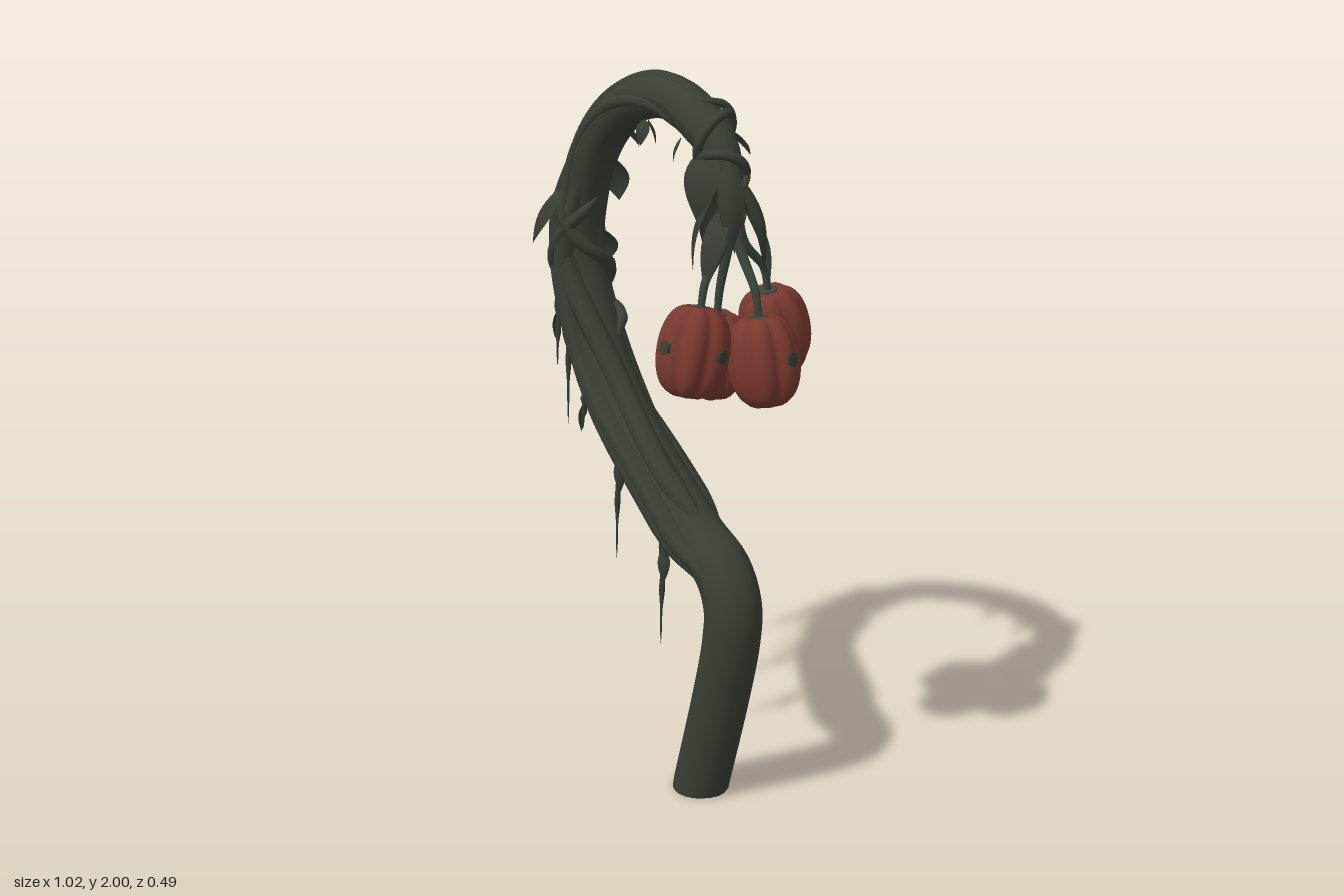
import * as THREE from 'three';

const V = (x, y, z = 0) => new THREE.Vector3(x, y, z);
const curveOf = (pts) => new THREE.CatmullRomCurve3(pts, false, 'centripetal');

// tube whose radius follows radiusAt(t)
function taperedTube(curve, radiusAt, segs, sides) {
  const geo = new THREE.TubeGeometry(curve, segs, 1, sides, false);
  const pos = geo.attributes.position, p = V(0, 0);
  for (let i = 0; i <= segs; i++) {
    const c = curve.getPointAt(i / segs), r = radiusAt(i / segs);
    for (let j = 0; j <= sides; j++) {
      const k = i * (sides + 1) + j;
      p.fromBufferAttribute(pos, k).sub(c).multiplyScalar(r).add(c);
      pos.setXYZ(k, p.x, p.y, p.z);
    }
  }
  return geo;
}

// pointed leaf hanging from the origin along -y, folded at the midrib and curled forward
function leafGeometry(w, h) {
  const geo = new THREE.PlaneGeometry(1, 1, 4, 10), pos = geo.attributes.position;
  for (let i = 0; i < pos.count; i++) {
    const u = pos.getX(i) * 2, v = 0.5 - pos.getY(i);
    const half = (w / 2) * Math.max(0, Math.sin(Math.PI * Math.pow(v, 0.75)));
    pos.setXYZ(i, u * half, -v * h, -Math.abs(u) * half * 0.35 + Math.sin(v * Math.PI) * h * 0.12);
  }
  geo.computeVertexNormals();
  return geo;
}

// seven-lobed barrel pod with blunt ends
function podGeometry() {
  const profile = [];
  for (let i = 0; i <= 16; i++) {
    const a = 0.25 + (i / 16) * (Math.PI - 0.43);
    profile.push(new THREE.Vector2(0.093 * Math.pow(Math.sin(a), 0.6), -0.118 * Math.cos(a)));
  }
  profile.push(new THREE.Vector2(0.004, 0.1));
  const geo = new THREE.LatheGeometry(profile, 56), pos = geo.attributes.position;
  for (let i = 0; i < pos.count; i++) {
    const x = pos.getX(i), z = pos.getZ(i);
    const k = 0.85 + 0.18 * Math.abs(Math.cos(Math.atan2(x, z) * 3.5));
    pos.setXYZ(i, x * k, pos.getY(i), z * k);
  }
  geo.computeVertexNormals();
  return geo;
}

export function createModel() {
  const model = new THREE.Group();
  const mat = (name, color) => new THREE.MeshStandardMaterial({ name, color, side: THREE.DoubleSide });
  const bark = mat('dark green bark', 0x393f33);
  const leafMat = mat('leaf green', 0x373d31);
  const stemMat = mat('stem green', 0x38463b);
  const red = mat('pod red', 0x78382f);
  const add = (name, geo, material, parent = model) => {
    const m = new THREE.Mesh(geo, material);
    m.name = name;
    parent.add(m);
    return m;
  };

  // main hooked stalk
  const path = curveOf([V(0.185, 0), V(0.28, 0.34), V(0.316, 0.5), V(0.32, 0.6), V(0.275, 0.69),
    V(0.15, 0.765), V(-0.17, 1.03), V(-0.3, 1.23), V(-0.37, 1.43), V(-0.35, 1.62), V(-0.27, 1.78),
    V(-0.13, 1.895), V(0.04, 1.935), V(0.19, 1.88), V(0.28, 1.79), V(0.31, 1.66)]);
  path.arcLengthDivisions = 600;
  const stalkRadius = (t) => 0.079 - 0.019 * THREE.MathUtils.smoothstep(t, 0.2, 0.8)
    - 0.038 * THREE.MathUtils.smoothstep(t, 0.9, 1);
  const stalk = taperedTube(path, stalkRadius, 120, 20);
  for (let j = 0; j <= 20; j++) stalk.attributes.position.setY(j, 0);
  stalk.computeVertexNormals();
  add('stalk', stalk, bark);
  const base = add('stalkBase', new THREE.CircleGeometry(0.077, 20), bark);
  base.rotation.x = Math.PI / 2;
  base.position.set(0.185, 0.001, 0);

  // point beside the stalk: phase 0 is the inner side of the hook, PI the outer, PI/2 the front
  const onStalk = (t, phase, dist) => {
    const c = path.getPointAt(t), g = path.getTangentAt(t);
    return c.add(V(g.y, -g.x).multiplyScalar(Math.cos(phase) * dist)).add(V(0, 0, Math.sin(phase) * dist));
  };

  // vine winding from t0 to t1, starting at a phase and turning by twist
  const addVine = (t0, t1, phase, twist, r, k) => {
    const pts = [];
    for (let i = 0; i <= 24; i++) {
      const s = i / 24, t = t0 + (t1 - t0) * s;
      const lift = k * (0.6 + 0.4 * Math.min(1, 6 * s, 6 * (1 - s)));
      pts.push(onStalk(t, phase + twist * s + 0.25 * Math.sin(s * 9 + phase), stalkRadius(t) * lift));
    }
    const radius = (s) => r * (0.25 + 0.75 * Math.min(1, 5 * s, 5 * (1 - s)));
    add('vine', taperedTube(curveOf(pts), radius, 80, 8), bark);
  };
  for (let i = 0; i < 5; i++) {
    // thick lower strands
    addVine(0.19 + 0.018 * i, 0.74 - 0.02 * i, 1.2 + i * 1.257, i % 2 ? -1.3 : 1.3, 0.034, 0.9);
  }
  for (let i = 0; i < 4; i++) {
    // thinner strands over the arch
    addVine(0.48 + 0.02 * i, 0.97 - 0.015 * i, 1.2 + i * 1.57, i % 2 ? -2 : 2, 0.019, 0.8);
  }
  for (const side of [1, -1]) {
    // tight coils at the narrow bend and near the tip
    addVine(0.5, 0.68, 1 + side, side * 7, 0.02, 1.15);
    addVine(0.89, 0.985, 1 + side, side * 11, 0.013, 1.2);
  }

  // leaf facing away from the stalk and hanging with a tilt
  const addLeaf = (t, phase, w, h, tilt, reach) => {
    const c = path.getPointAt(t), p = onStalk(t, phase, stalkRadius(t) * reach);
    const leaf = add('leaf', leafGeometry(w, h), leafMat);
    leaf.position.copy(p);
    leaf.rotation.set(-tilt, Math.atan2(p.x - c.x, p.z - c.z), 0, 'YXZ');
  };

  // hanging root spikes with a small leaf partway down: [place along stalk, length, phase]
  const spikes = [[0.6, 0.52, 3.3], [0.575, 0.34, 4], [0.53, 0.3, 3.8], [0.5, 0.2, 4.4], [0.455, 0.48, 3.7],
    [0.355, 0.46, 3.6], [0.585, 0.28, 2.6], [0.48, 0.14, 2.5]];
  for (const [t, len, phase] of spikes) {
    const top = onStalk(t, phase, stalkRadius(t) * 1.05);
    const pts = [0, 0.35, 0.7, 1].map((s) => V(top.x - 0.03 * s + 0.012 * Math.sin(s * 9), top.y - len * s, top.z));
    const radius = (s) => 0.018 * (1 - 0.97 * s) * (1 + 0.25 * Math.sin(s * 22));
    add('rootSpike', taperedTube(curveOf(pts), radius, 32, 7), bark);
    const leaf = add('spikeLeaf', leafGeometry(0.035, 0.1), leafMat);
    leaf.position.copy(pts[1]);
    leaf.rotation.set(-0.15, phase * 2, 0, 'YXZ');
  }

  // broad leaves: [place, phase, width, height, tilt, reach]
  const broad = [[0.385, 4.1, 0.12, 0.18, 0.2, 1.5], [0.665, 2.1, 0.13, 0.17, 0.45, 1.15],
    [0.7, 4.3, 0.12, 0.17, 0.45, 1.1], [0.625, 4.1, 0.14, 0.18, 0.55, 1.3], [0.6, 3.2, 0.06, 0.13, 0.4, 1.1],
    [0.935, 1.8, 0.12, 0.18, 0.2, 1.1]];
  for (const leaf of broad) addLeaf(...leaf);
  // small leaves, under the arch and on its back
  for (let i = 0; i < 4; i++) {
    addLeaf(0.79 + 0.035 * i, i % 2 ? 0.5 : -0.7, 0.04, 0.07, 0.3, 1.1);
    addLeaf(0.74 + 0.06 * i, 4.6, 0.045, 0.09, 0.7, 1.1);
  }
  // sheath leaves around the stalk tip
  for (let i = 0; i < 7; i++) addLeaf(0.95 + 0.016 * (i % 3), i * 0.9, 0.07, 0.24, 0.15 + 0.1 * (i % 3), 1.1);

  // pod cluster, each leaning away from the stalk tip
  const podGeo = podGeometry();
  for (const centre of [V(0.227, 1.287), V(0.33, 1.347, 0.147), V(0.42, 1.315, -0.01), V(0.3, 1.347, -0.147)]) {
    const lean = V((centre.x - 0.305) * 1.7, -1, centre.z * 1.7);
    const pod = new THREE.Group();
    pod.name = 'pod';
    pod.position.copy(centre);
    pod.quaternion.setFromUnitVectors(V(0, -1), lean.clone().normalize());
    model.add(pod);
    add('podShell', podGeo, red, pod);
    // green calyx on top and opening below
    add('calyx', new THREE.CylinderGeometry(0.026, 0.026, 0.009, 14), stemMat, pod).position.y = 0.112;
    add('podOpening', new THREE.CylinderGeometry(0.034, 0.034, 0.009, 7), leafMat, pod).position.y = -0.111;
    // hexagonal holes on two lobes
    for (const turn of [0, 1.8]) {
      const lobe = Math.round((Math.atan2(lean.x, lean.z) + turn) * 3.5 / Math.PI) * Math.PI / 3.5;
      const hole = add('podHole', new THREE.CylinderGeometry(0.019, 0.021, 0.009, 6), leafMat, pod);
      hole.position.set(Math.sin(lobe) * 0.0925, 0.005, Math.cos(lobe) * 0.0925);
      hole.rotation.set(Math.PI / 2, lobe, 0, 'YXZ');
    }
    // stem from the stalk tip into the calyx
    const top = pod.localToWorld(V(0, 0.11)), up = pod.localToWorld(V(0, 0.18));
    const stem = curveOf([V(0.305, 1.72), V(0.21 + up.x * 0.3, 1.6, up.z * 0.35), up, top]);
    add('podStem', taperedTube(stem, (s) => 0.017 - 0.008 * s, 24, 8), stemMat);
  }
  return model;
}
